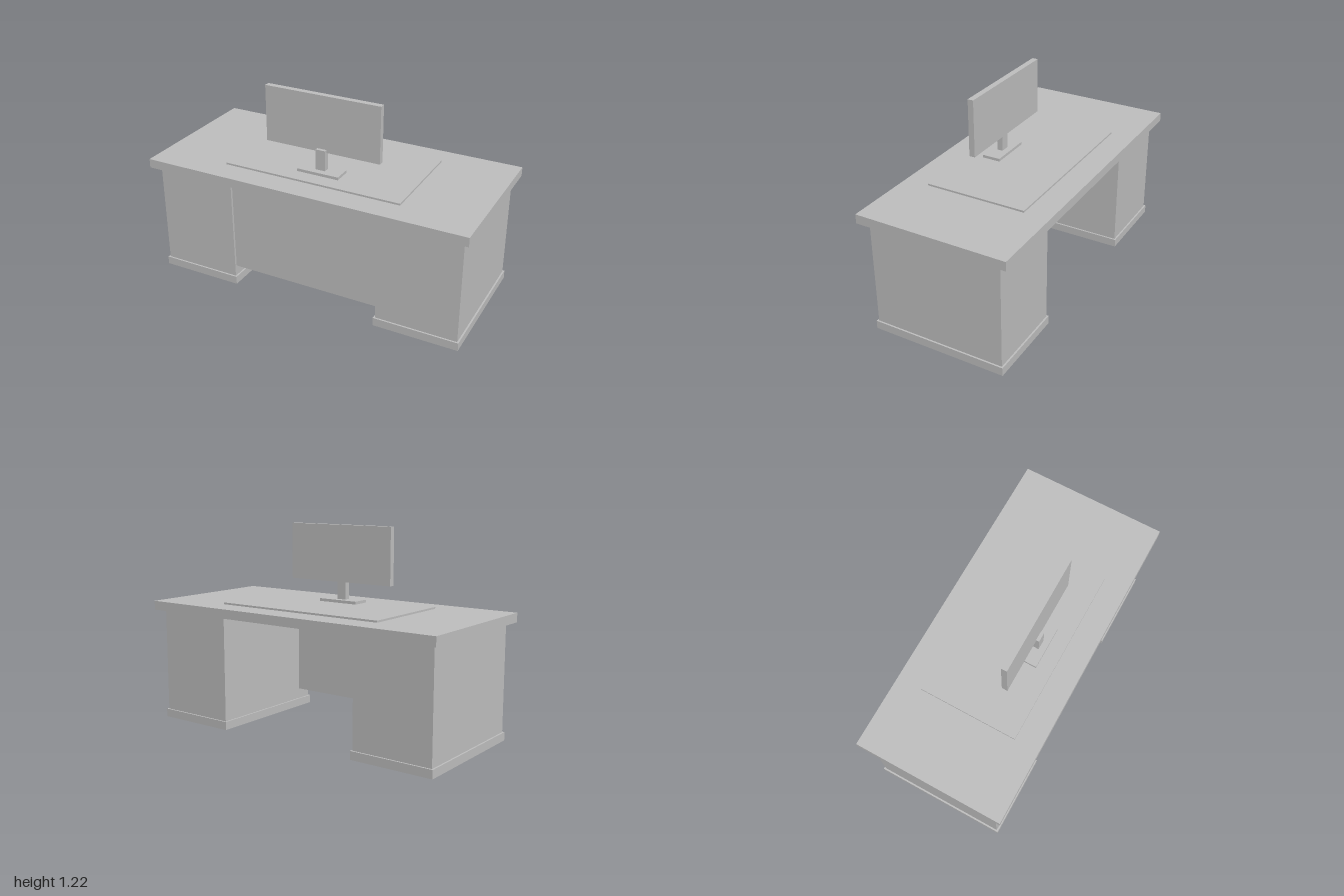
import * as THREE from 'three';

export function createModel() {
  const group = new THREE.Group();
  const grey = new THREE.MeshStandardMaterial({ color: 0xbfbfbf });
  grey.name = 'grey';

  // Box given by its extents on each axis
  const box = (name, [x0, x1], [y0, y1], [z0, z1]) => {
    const mesh = new THREE.Mesh(new THREE.BoxGeometry(x1 - x0, y1 - y0, z1 - z0), grey);
    mesh.position.set((x0 + x1) / 2, (y0 + y1) / 2, (z0 + z1) / 2);
    mesh.name = name;
    group.add(mesh);
  };

  // Desk
  box('deskTop', [-1, 1], [0.69, 0.745], [-0.456, 0.456]);
  box('modestyPanel', [-0.47, 0.47], [0.115, 0.69], [0.305, 0.385]);

  // Drawer pedestals, each on a slightly wider plinth
  for (const [side, s] of [['left', 1], ['right', -1]]) {
    const span = (a, b) => (s > 0 ? [a, b] : [-b, -a]);
    box(side + 'Pedestal', span(0.468, 0.96), [0.05, 0.69], [-0.4, 0.4]);
    box(side + 'Plinth', span(0.458, 0.97), [0, 0.05], [-0.41, 0.41]);
  }

  // Desk mat and monitor
  box('deskMat', [-0.555, 0.555], [0.745, 0.756], [-0.304, 0.304]);
  box('monitorBase', [-0.132, 0.132], [0.756, 0.773], [0.098, 0.21]);
  box('monitorNeck', [-0.03, 0.03], [0.773, 0.898], [0.136, 0.172]);
  box('monitorScreen', [-0.362, 0.362], [0.88, 1.222], [0.117, 0.152]);

  return group;
}
